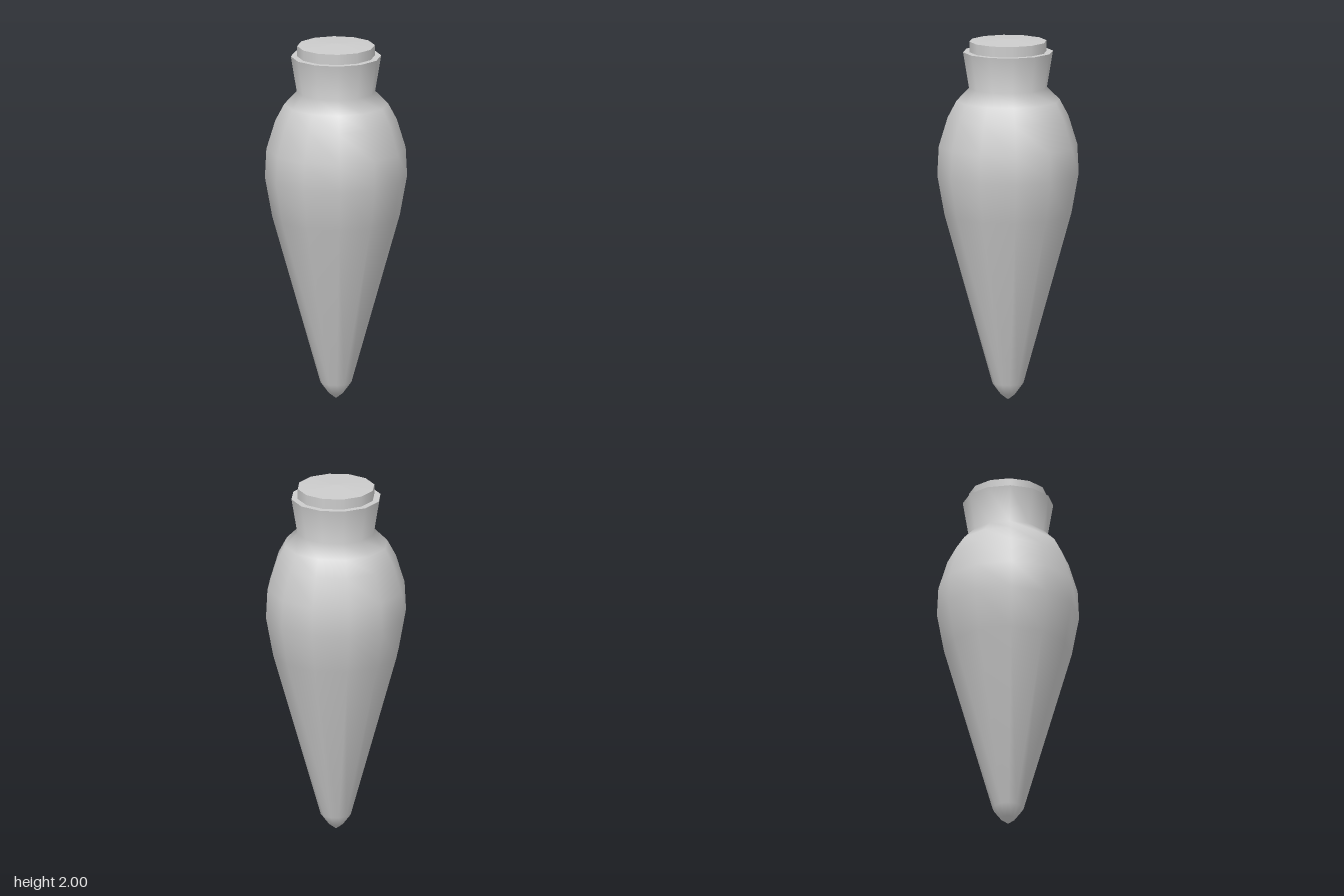
import * as THREE from 'three';

const SIDES = 12;

// Smooth-shaded surface of revolution from [radius, height] points, bottom to top
function turned(name, profile, material) {
  const points = profile.map(([r, y]) => new THREE.Vector2(r, y));
  const mesh = new THREE.Mesh(new THREE.LatheGeometry(points, SIDES), material);
  mesh.name = name;
  return mesh;
}

export function createModel() {
  const group = new THREE.Group();
  group.name = 'stopperedVial';
  const material = new THREE.MeshStandardMaterial({ color: 0xcccccc });

  // Tapered body with rounded tip, swelling shoulder and flared neck
  group.add(turned('body', [
    [0, 0], [0.04, 0.03], [0.085, 0.09], [0.35, 1.03], [0.39, 1.25],
    [0.382, 1.41], [0.333, 1.57], [0.285, 1.66], [0.215, 1.73], [0.248, 1.93],
  ], material));

  // Flat lip around the mouth
  group.add(turned('lip', [[0.248, 1.93], [0.213, 1.93]], material));

  // Stopper side and slightly domed top, kept apart for a sharp edge
  group.add(turned('stopperSide', [[0.213, 1.93], [0.213, 1.988]], material));
  group.add(turned('stopperTop', [[0.213, 1.988], [0, 2]], material));

  return group;
}
